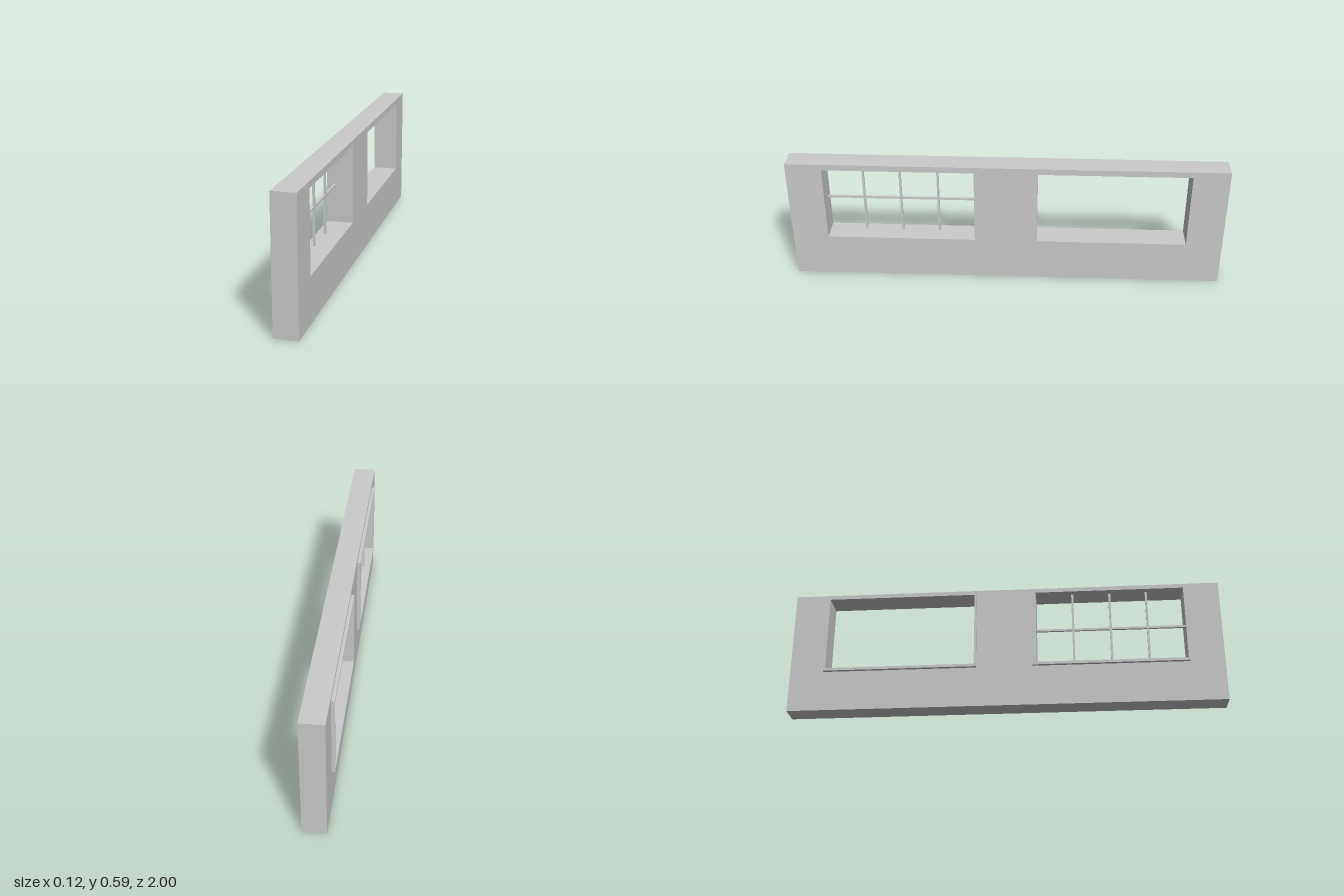
import * as THREE from 'three';

const material = new THREE.MeshStandardMaterial({ color: 0xcccccc, flatShading: true });

// Rectangle given as [z0, z1, y0, y1], drawn in the plane of the wall
function trace(path, [z0, z1, y0, y1]) {
  path.moveTo(z0, y0);
  path.lineTo(z1, y0);
  path.lineTo(z1, y1);
  path.lineTo(z0, y1);
  path.closePath();
  return path;
}

// Upright slab between xMin and xMax, pierced by rectangular holes
function slab(name, outline, holes, xMin, xMax) {
  const shape = trace(new THREE.Shape(), outline);
  shape.holes = holes.map((hole) => trace(new THREE.Path(), hole));
  const geometry = new THREE.ExtrudeGeometry(shape, { depth: xMax - xMin, bevelEnabled: false });
  geometry.rotateY(-Math.PI / 2).translate(xMax, 0, 0);
  const mesh = new THREE.Mesh(geometry, material);
  mesh.name = name;
  return mesh;
}

function bar(name, height, length, y, z) {
  const mesh = new THREE.Mesh(new THREE.BoxGeometry(0.01, height, length), material);
  mesh.name = name;
  mesh.position.set(-0.023, y, z);
  return mesh;
}

export function createModel() {
  const model = new THREE.Group();
  model.name = 'wallWithWindows';

  const bottom = 0.203, top = 0.56;
  const barredOpening = [0.147, 0.835, bottom, top];
  const clearOpening = [-0.833, -0.142, bottom, top];

  // Wall with two window openings
  model.add(slab('wall', [-1, 1, 0, 0.588], [barredOpening, clearOpening], -0.045, 0.06));

  // Thin raised frames on the outer face
  model.add(slab('barredWindowFrame', [0.127, 0.842, 0.19, 0.57], [barredOpening], -0.06, -0.045));
  model.add(slab('clearWindowFrame', [-0.842, -0.132, 0.19, 0.57], [clearOpening], -0.06, -0.045));

  // Glazing bars: three uprights and one crossbar
  const bars = new THREE.Group();
  bars.name = 'windowBars';
  for (const z of [0.319, 0.493, 0.664]) {
    bars.add(bar('uprightBar', top - bottom, 0.01, (top + bottom) / 2, z));
  }
  bars.add(bar('crossbar', 0.01, 0.688, 0.376, 0.491));
  model.add(bars);

  return model;
}
